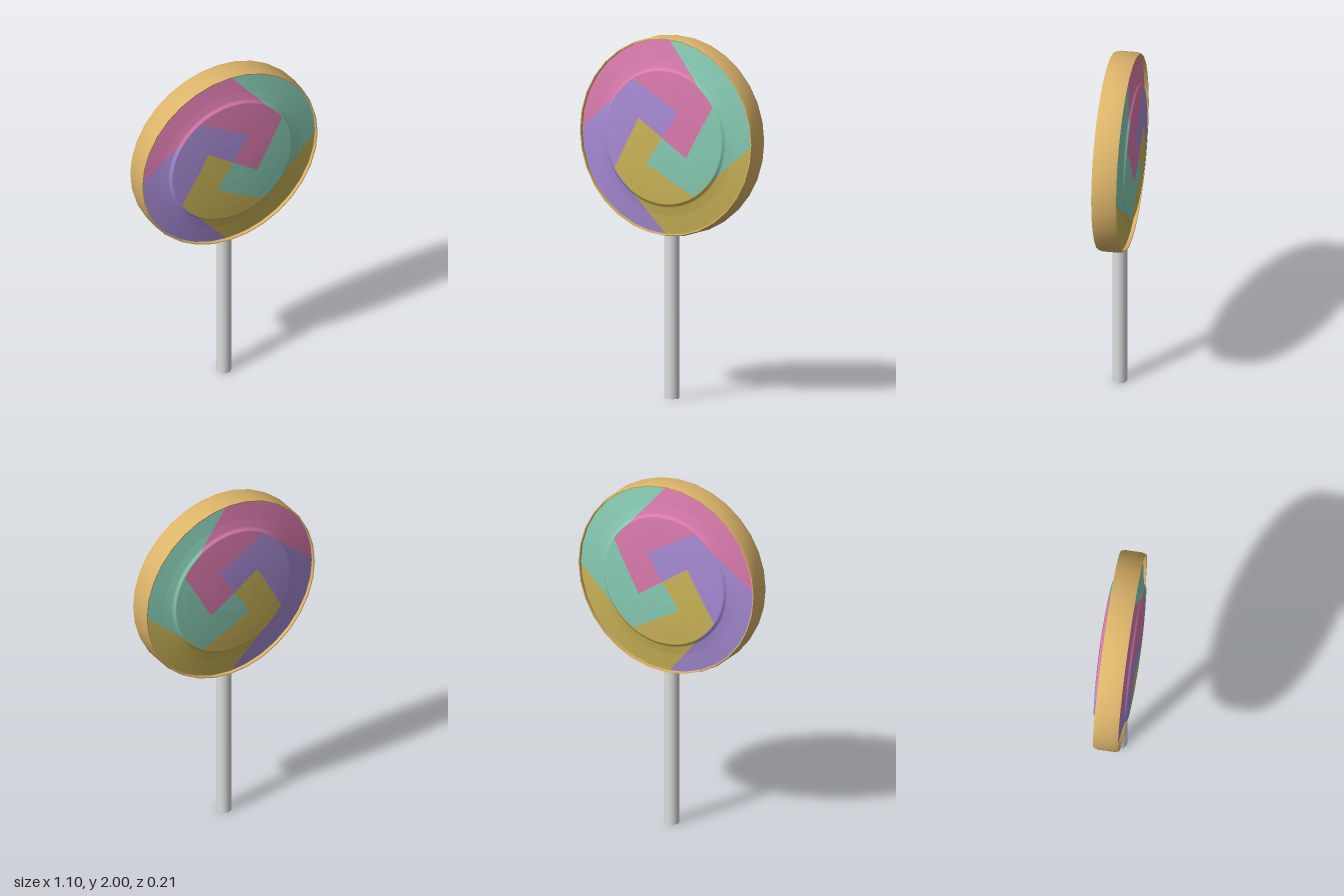
import * as THREE from 'three';
import { toCreasedNormals } from 'three/addons/utils/BufferGeometryUtils.js';

const CENTER_Y = 1.45;
const material = (name, color) => {
  const m = new THREE.MeshStandardMaterial({ color });
  m.name = name;
  return m;
};

// Height of the candy face above the mid plane at each radius: dome, small step, sloping border
const PROFILE = [[0, 0.107], [0.12, 0.106], [0.22, 0.102], [0.3, 0.097], [0.37, 0.091], [0.382, 0.079], [0.43, 0.067], [0.54, 0.048]];
function faceHeight(r) {
  for (let i = 1; i < PROFILE.length; i++) {
    const [r0, z0] = PROFILE[i - 1], [r1, z1] = PROFILE[i];
    if (r <= r1) return z0 + ((z1 - z0) * (r - r0)) / (r1 - r0);
  }
  return PROFILE[PROFILE.length - 1][1];
}

// Border between two swirl colours, from the centre out, as rings of radius and angle
const BORDER = [[0, 0], [0.15, -0.1], [0.31, 0.19], [0.008, 0.541]];
function borderRings() {
  const rings = [{ r: 0, a: Math.atan2(-0.1, 0.15) }];
  const steps = 24;
  for (let s = 1; s < BORDER.length; s++) {
    for (let i = 1; i <= steps; i++) {
      const t = i / steps;
      const x = THREE.MathUtils.lerp(BORDER[s - 1][0], BORDER[s][0], t);
      const y = THREE.MathUtils.lerp(BORDER[s - 1][1], BORDER[s][1], t);
      const r = Math.max(Math.hypot(x, y), rings[rings.length - 1].r + 0.0002);
      rings.push({ r, a: Math.atan2(y, x) });
    }
  }
  return rings;
}

// One colour arm of the swirl: a quarter turn of every ring; side is 1 for front, -1 for back
function armGeometry(quarter, side) {
  const rings = borderRings(), segments = 12;
  const positions = [], normals = [], index = [];
  for (const { r, a } of rings) {
    const slope = (faceHeight(r + 0.004) - faceHeight(Math.max(r - 0.004, 0))) / 0.008;
    for (let j = 0; j <= segments; j++) {
      const angle = a + (quarter + j / segments) * Math.PI / 2;
      const c = Math.cos(angle), s = Math.sin(angle);
      positions.push(r * c, r * s, side * faceHeight(r));
      const n = new THREE.Vector3(-slope * c, -slope * s, side).normalize();
      normals.push(n.x, n.y, n.z);
    }
  }
  const row = segments + 1;
  for (let i = 0; i < rings.length - 1; i++) {
    for (let j = 0; j < segments; j++) {
      const a = i * row + j, b = a + 1, c = a + row, d = c + 1;
      if (side > 0) index.push(a, c, d, a, d, b);
      else index.push(a, d, c, a, b, d);
    }
  }
  const geometry = new THREE.BufferGeometry();
  geometry.setAttribute('position', new THREE.Float32BufferAttribute(positions, 3));
  geometry.setAttribute('normal', new THREE.Float32BufferAttribute(normals, 3));
  geometry.setIndex(index);
  return geometry;
}

export function createModel() {
  const model = new THREE.Group();
  model.name = 'lollipop';

  const add = (name, geometry, mat, y) => {
    const mesh = new THREE.Mesh(geometry, mat);
    mesh.name = name;
    mesh.position.y = y;
    model.add(mesh);
  };

  // Stick
  add('stick', new THREE.CylinderGeometry(0.04, 0.04, 0.93, 24), material('light grey', 0xdcdcdc), 0.465);

  // Golden rim: a band with slightly bevelled edges and a raised lip
  const band = [[0.538, -0.04], [0.538, -0.068], [0.544, -0.069], [0.55, -0.045],
    [0.55, 0.045], [0.544, 0.069], [0.538, 0.068], [0.538, 0.04]];
  const rim = new THREE.LatheGeometry(band.map(([x, y]) => new THREE.Vector2(x, y)), 32);
  rim.rotateX(Math.PI / 2);
  add('rim', toCreasedNormals(rim, 0.6), material('gold', 0xdcb46a), CENTER_Y);

  // Four swirl arms, running counter-clockwise from the top, on both faces
  const arms = [
    material('pink', 0xdb7bae),
    material('purple', 0xa88cd6),
    material('yellow', 0xcdb658),
    material('teal', 0x88cdb5),
  ];
  arms.forEach((mat, quarter) => {
    add(mat.name + 'SwirlFront', armGeometry(quarter, 1), mat, CENTER_Y);
    add(mat.name + 'SwirlBack', armGeometry(quarter, -1), mat, CENTER_Y);
  });

  return model;
}
